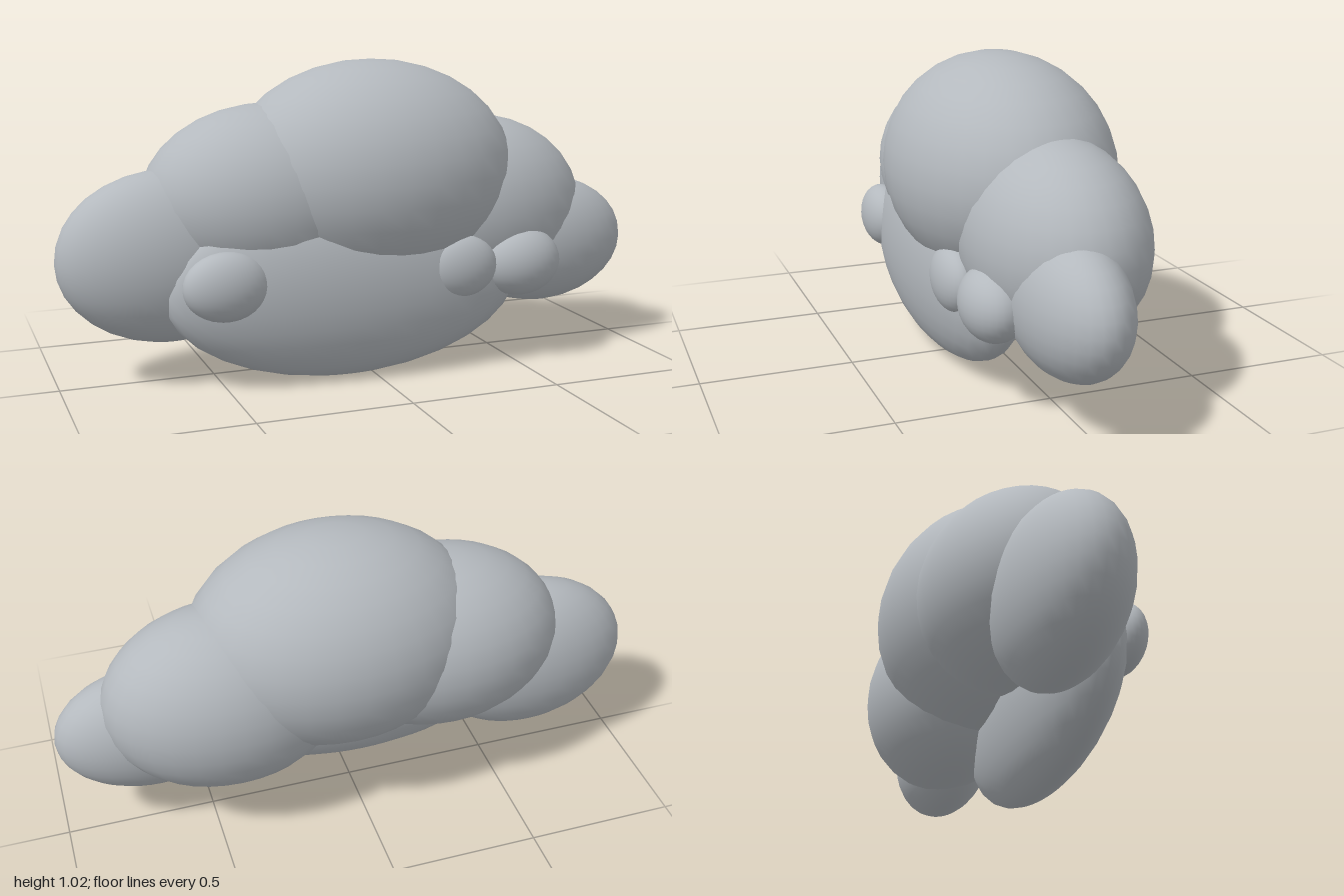
import * as THREE from 'three';

export function createModel() {
  const group = new THREE.Group();
  const cloudGrey = new THREE.MeshStandardMaterial({ color: 0xb4b9be });
  cloudGrey.name = 'cloudGrey';
  const sphere = new THREE.SphereGeometry(1, 32, 16);

  // Each puff is a stretched sphere: name, centre, radii
  const puffs = [
    // Large upper row
    ['centrePuff', [0.05, 0.645, 0], [0.5, 0.375, 0.365]],
    ['leftPuff', [0.43, 0.5, -0.03], [0.41, 0.32, 0.28]],
    ['rightPuff', [-0.3, 0.575, -0.02], [0.42, 0.31, 0.303]],
    // Ends
    ['leftEndPuff', [0.675, 0.378, 0.028], [0.32, 0.222, 0.162]],
    ['rightEndPuff', [-0.64, 0.41, 0], [0.36, 0.28, 0.187]],
    // Flat front base
    ['basePuff', [-0.08, 0.31, 0.145], [0.61, 0.31, 0.155]],
    // Small front wisps
    ['rightWisp', [-0.513, 0.35, 0.237], [0.138, 0.11, 0.075]],
    ['middleWisp', [0.275, 0.35, 0.235], [0.132, 0.106, 0.067]],
    ['leftWisp', [0.515, 0.343, 0.197], [0.145, 0.117, 0.1]],
  ];

  for (const [name, centre, radii] of puffs) {
    const puff = new THREE.Mesh(sphere, cloudGrey);
    puff.name = name;
    puff.position.set(...centre);
    puff.scale.set(...radii);
    group.add(puff);
  }
  return group;
}
